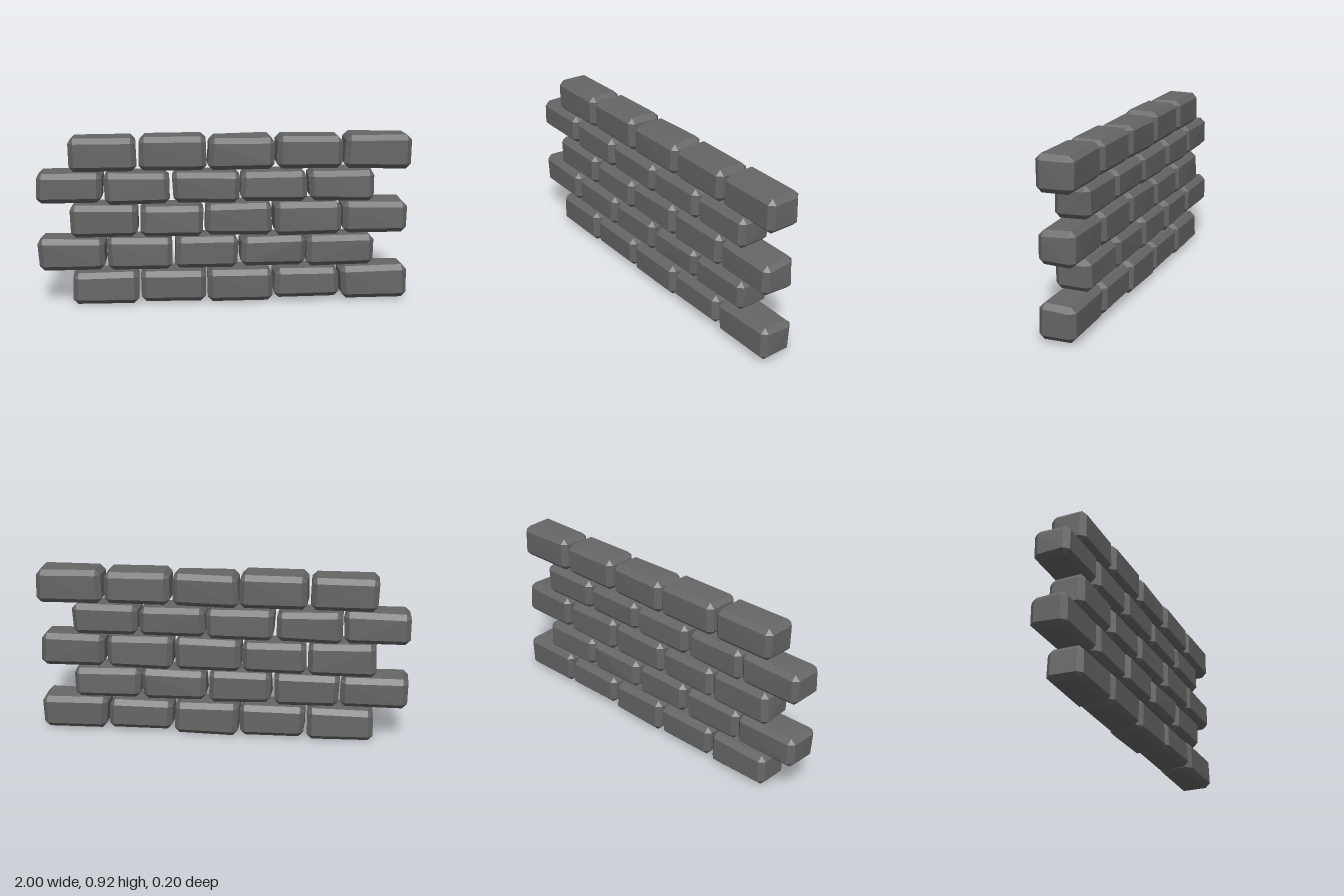
import * as THREE from 'three';
import { ConvexGeometry } from 'three/addons/geometries/ConvexGeometry.js';

const stone = new THREE.MeshStandardMaterial({ color: 0x666666 });
stone.name = 'grey stone';

// Small seeded generator for the hand-cut unevenness
let seed = 7;
const rand = () => (seed = (seed * 16807) % 2147483647) / 2147483647;

// Bricks of each course, bottom to top: [left, right, bottom, top]
const courses = [
  [[-0.82, -0.455, 0, 0.185], [-0.455, -0.095, 0.005, 0.185], [-0.095, 0.265, 0, 0.187], [0.265, 0.625, 0.018, 0.187], [0.63, 1, 0.005, 0.197]],
  [[-1, -0.635, 0.195, 0.375], [-0.635, -0.275, 0.19, 0.375], [-0.27, 0.075, 0.195, 0.375], [0.085, 0.44, 0.2, 0.372], [0.44, 0.81, 0.197, 0.372]],
  [[-0.825, -0.455, 0.373, 0.555], [-0.455, -0.105, 0.373, 0.55], [-0.105, 0.26, 0.375, 0.557], [0.26, 0.63, 0.373, 0.557], [0.63, 0.99, 0.375, 0.557]],
  [[-1, -0.64, 0.56, 0.735], [-0.64, -0.285, 0.553, 0.727], [-0.28, 0.085, 0.557, 0.727], [0.085, 0.445, 0.557, 0.728], [0.445, 0.81, 0.557, 0.73]],
  [[-0.825, -0.46, 0.73, 0.917], [-0.455, -0.09, 0.735, 0.92], [-0.09, 0.27, 0.73, 0.913], [0.27, 0.635, 0.733, 0.917], [0.635, 1, 0.73, 0.92]],
];

// Bevelled block: each slightly uneven corner is cut back into three points
function brickGeometry([x0, x1, y0, y1]) {
  const cx = (x0 + x1) / 2, cy = (y0 + y1) / 2;
  const hx = (x1 - x0) / 2, hy = (y1 - y0) / 2, hz = 0.098;
  const points = [];
  for (const sx of [-1, 1]) for (const sy of [-1, 1]) for (const sz of [-1, 1]) {
    const x = hx - rand() * 0.011;
    const y = hy - rand() * 0.009;
    const z = hz - rand() * 0.006;
    const b = 0.027;
    for (const [dx, dy, dz] of [[0, b, b], [b, 0, b], [b, b, 0]]) {
      points.push(new THREE.Vector3(cx + sx * (x - dx), cy + sy * (y - dy), sz * (z - dz)));
    }
  }
  return new ConvexGeometry(points);
}

export function createModel() {
  const wall = new THREE.Group();
  wall.name = 'brickWall';
  courses.forEach((bricks, row) => {
    const course = new THREE.Group();
    course.name = `course${row + 1}`;
    bricks.forEach((extent, i) => {
      const brick = new THREE.Mesh(brickGeometry(extent), stone);
      brick.name = `brick${i + 1}`;
      course.add(brick);
    });
    wall.add(course);
  });
  return wall;
}
